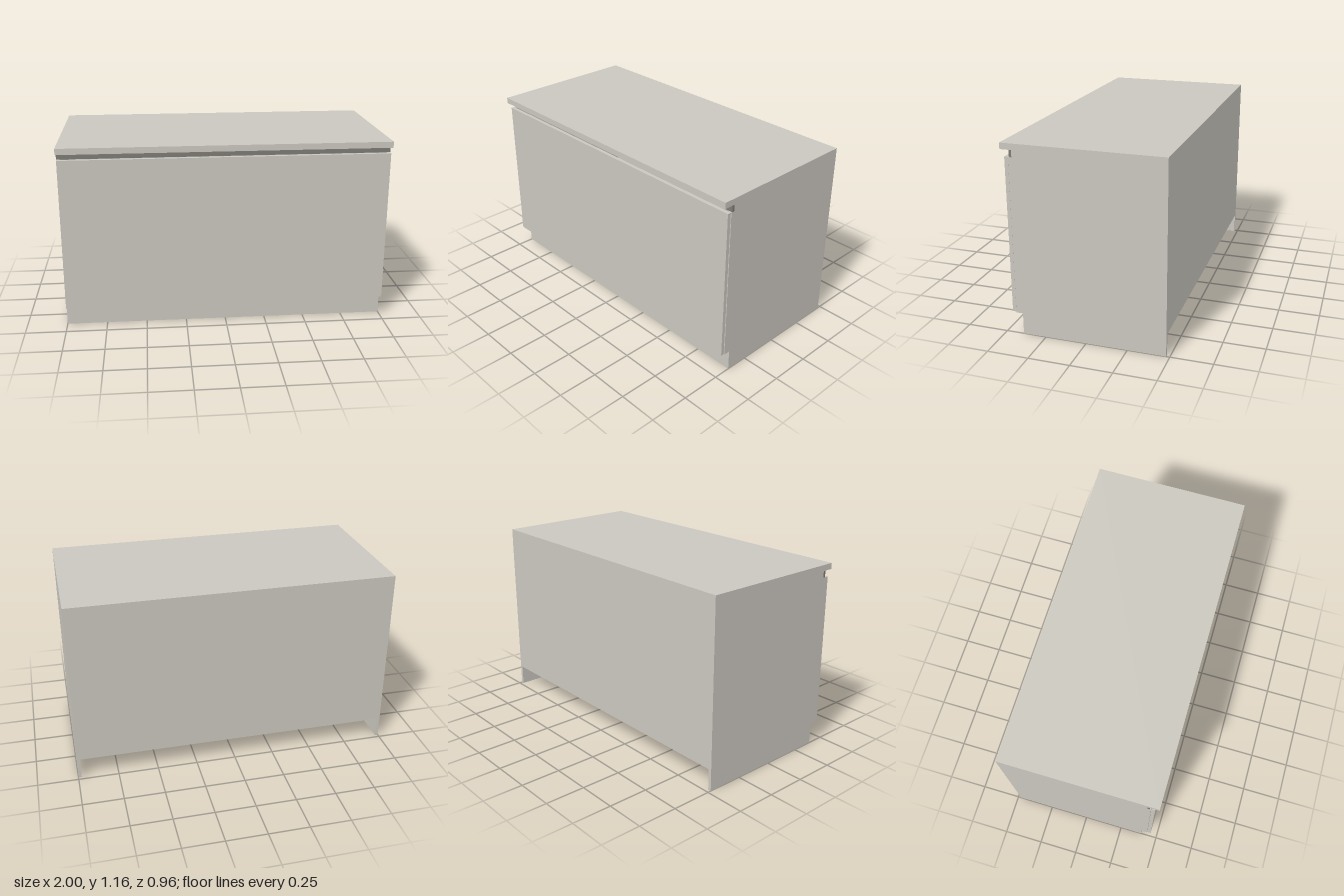
import * as THREE from 'three';

export function createModel() {
  const model = new THREE.Group();
  model.name = 'baseCabinet';

  const panel = new THREE.MeshStandardMaterial({ color: 0xcac7bf });
  panel.name = 'warmGreyPanel';
  const recess = new THREE.MeshStandardMaterial({ color: 0x7d7b74 });
  recess.name = 'darkGreyRail';

  // Box given by its lower and upper limits on each axis
  function board(name, material, [x0, x1], [y0, y1], [z0, z1]) {
    const mesh = new THREE.Mesh(new THREE.BoxGeometry(x1 - x0, y1 - y0, z1 - z0), material);
    mesh.position.set((x0 + x1) / 2, (y0 + y1) / 2, (z0 + z1) / 2);
    mesh.name = name;
    model.add(mesh);
  }

  const t = 0.02;
  const back = -0.479, front = 0.433;
  const floorY = 0.131, topY = 1.121;
  const full = [-1, 1], inner = [-1 + t, 1 - t];

  // Side panels, notched for the plinth and the grip rail (profile in z, y)
  const profile = new THREE.Shape([
    [back, 0], [0.373, 0], [0.373, floorY], [front, floorY],
    [front, 1.08], [0.412, 1.08], [0.412, topY], [back, topY],
  ].map(([z, y]) => new THREE.Vector2(z, y)));
  const sideGeometry = new THREE.ExtrudeGeometry(profile, { depth: t, bevelEnabled: false });
  sideGeometry.rotateY(-Math.PI / 2).translate(t / 2, 0, 0);
  for (const [name, side] of [['leftSide', 1], ['rightSide', -1]]) {
    const mesh = new THREE.Mesh(sideGeometry, panel);
    mesh.position.x = side * (1 - t / 2);
    mesh.name = name;
    model.add(mesh);
  }

  // Carcass boards
  board('bottomPanel', panel, inner, [floorY, floorY + t], [back + t, front]);
  board('backPanel', panel, inner, [floorY, topY], [back, back + t]);

  // Worktop with a front overhang
  board('worktop', panel, full, [topY, 1.158], [back, 0.482]);

  // Recessed grip rail under the worktop
  board('gripRail', recess, full, [1.08, topY], [0.412, 0.427]);

  // Front panel and plinth
  board('frontPanel', panel, [-0.997, 0.997], [0.135, 1.08], [0.435, 0.457]);
  board('plinth', panel, full, [0, floorY], [0.373, 0.392]);

  return model;
}
